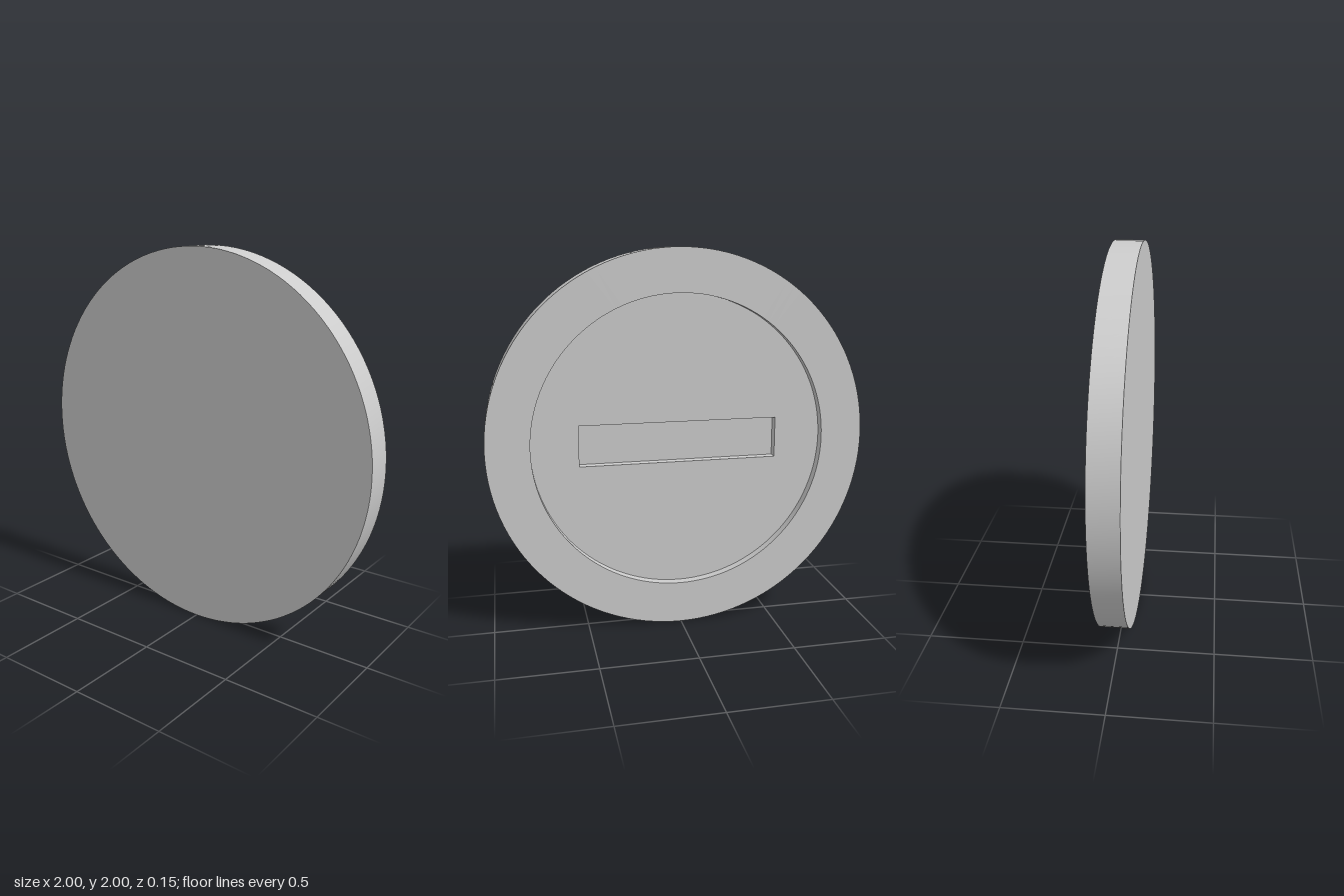
import * as THREE from 'three';
import { toCreasedNormals } from 'three/addons/utils/BufferGeometryUtils.js';

const RADIUS = 1, HALF = 0.0735, STEP = 0.049;   // disc radius, half thickness, depth of each recess
const RECESS = 0.775, SLOT_W = 1.054, SLOT_H = 0.216;
const SEGMENTS = 128;

export function createModel() {
  const model = new THREE.Group();
  const material = new THREE.MeshStandardMaterial({ color: 0xcccccc });
  const add = (parent, name, geometry) => {
    const mesh = new THREE.Mesh(geometry, material);
    mesh.name = name;
    parent.add(mesh);
    return mesh;
  };

  const disc = new THREE.Group();
  disc.name = 'disc';
  disc.position.y = RADIUS;
  model.add(disc);

  // Recess wall, back ring, outer rim and plain front in one profile
  const profile = [
    [RECESS, STEP - HALF], [RECESS, -HALF], [RADIUS, -HALF], [RADIUS, HALF], [0, HALF],
  ].map(([r, z]) => new THREE.Vector2(r, z));
  const body = new THREE.LatheGeometry(profile, SEGMENTS).rotateX(Math.PI / 2);
  add(disc, 'discBody', toCreasedNormals(body, Math.PI / 6));

  // Round recess floor with the slot opening cut out, facing the back
  const floor = new THREE.Shape().absarc(0, 0, RECESS, 0, Math.PI * 2);
  const w = SLOT_W / 2, h = SLOT_H / 2;
  floor.holes.push(new THREE.Path([[-w, -h], [-w, h], [w, h], [w, -h], [-w, -h]]
    .map(([x, y]) => new THREE.Vector2(x, y))));
  add(disc, 'recessFloor', new THREE.ShapeGeometry(floor, SEGMENTS).rotateY(Math.PI))
    .position.z = STEP - HALF;

  // Slot pocket: floor plus two mirrored pairs of inward-facing walls
  const slot = new THREE.Group();
  slot.name = 'slot';
  slot.position.z = 1.5 * STEP - HALF;
  disc.add(slot);
  add(slot, 'slotFloor', new THREE.PlaneGeometry(SLOT_W, SLOT_H).rotateY(Math.PI))
    .position.z = STEP / 2;
  for (const turn of [0, Math.PI]) {
    add(slot, 'slotLongWall', new THREE.PlaneGeometry(SLOT_W, STEP)
      .rotateX(Math.PI / 2).translate(0, h, 0).rotateZ(turn));
    add(slot, 'slotEndWall', new THREE.PlaneGeometry(STEP, SLOT_H)
      .rotateY(-Math.PI / 2).translate(w, 0, 0).rotateZ(turn));
  }

  return model;
}
